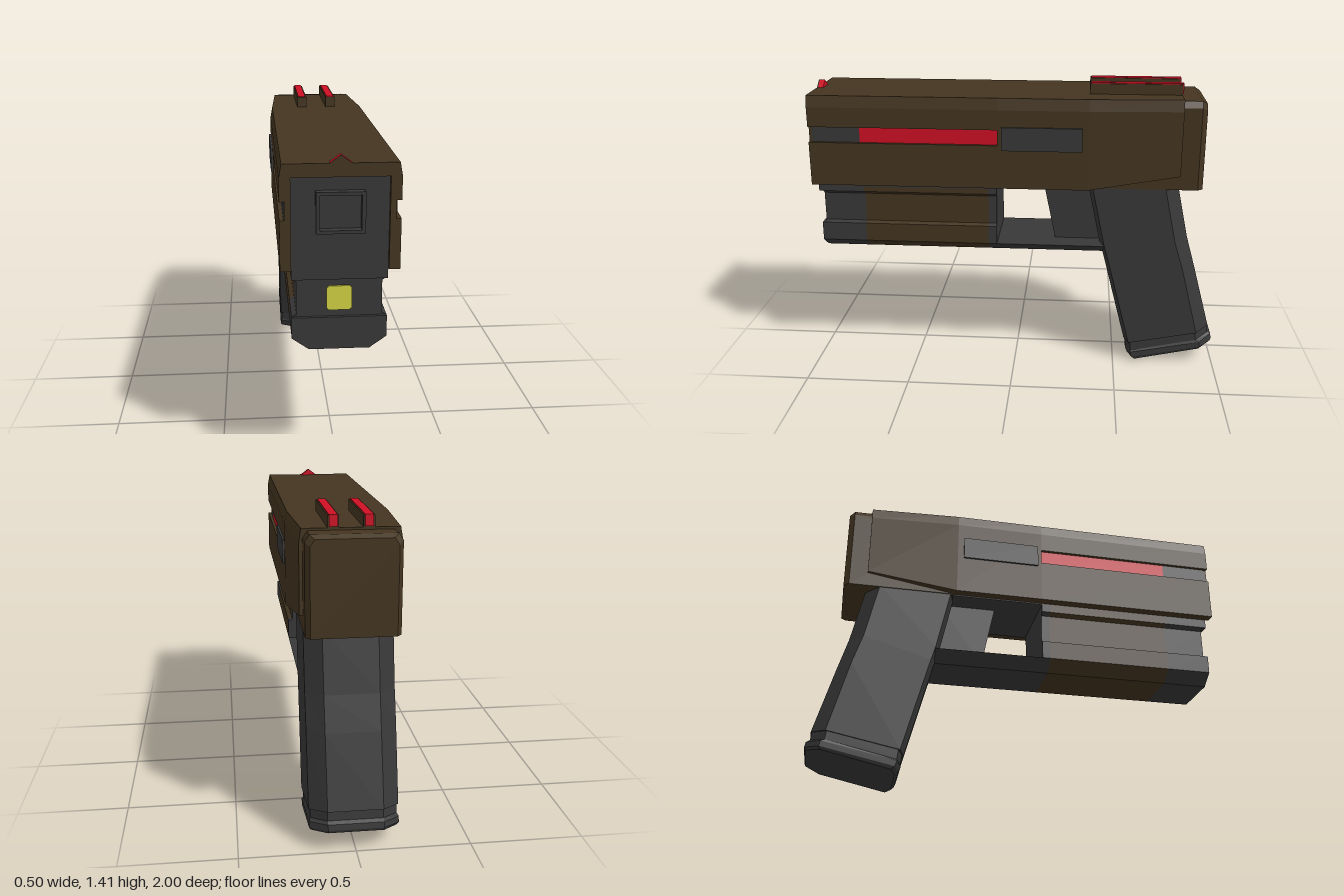
import * as THREE from 'three';

const mat = (name, color) => {
  const m = new THREE.MeshStandardMaterial({ color });
  m.name = name;
  return m;
};

// Skin convex rings of [x, y, z] points into a closed, flat-faced solid
function loft(rings) {
  const n = rings[0].length, tris = [];
  for (let r = 0; r < rings.length - 1; r++) {
    for (let i = 0; i < n; i++) {
      const j = (i + 1) % n;
      const a = rings[r][i], b = rings[r][j], c = rings[r + 1][j], d = rings[r + 1][i];
      tris.push([a, b, c], [a, c, d]);
    }
  }
  const first = rings[0], last = rings[rings.length - 1];
  for (let i = 1; i < n - 1; i++) {
    tris.push([first[0], first[i + 1], first[i]], [last[0], last[i], last[i + 1]]);
  }
  // Turn the faces outward if the solid came out inverted
  const V = (p) => new THREE.Vector3(...p);
  const volume = tris.reduce((s, [a, b, c]) => s + V(a).dot(V(b).cross(V(c))), 0);
  if (volume < 0) tris.forEach((t) => t.reverse());
  const geo = new THREE.BufferGeometry();
  geo.setAttribute('position', new THREE.Float32BufferAttribute(tris.flat(2), 3));
  geo.computeVertexNormals();
  return geo;
}

// Extrude a mirrored half-outline along z
function mirrored(half, z0, z1) {
  const pts = [...half, ...half.map(([x, y]) => [-x, y]).reverse()];
  const shape = new THREE.Shape(pts.map(([x, y]) => new THREE.Vector2(x, y)));
  const geo = new THREE.ExtrudeGeometry(shape, { depth: z1 - z0, bevelEnabled: false });
  return geo.translate(0, 0, z0);
}

function box(x0, x1, y0, y1, z0, z1) {
  return new THREE.BoxGeometry(x1 - x0, y1 - y0, z1 - z0)
    .translate((x0 + x1) / 2, (y0 + y1) / 2, (z0 + z1) / 2);
}

export function createModel() {
  const brown = mat('brown shell', 0x443520);
  const dark = mat('dark grey frame', 0x383838);
  const red = mat('red accent', 0xd01024);
  const yellow = mat('yellow light', 0xd4d444);

  const group = new THREE.Group();
  const add = (name, geo, material) => {
    const mesh = new THREE.Mesh(geo, material);
    mesh.name = name;
    group.add(mesh);
  };

  // Upper shell, front half with a channel along each side
  add('frontShell', mirrored([
    [0.23, 1.355], [0.24, 1.3], [0.24, 1.205], [0.22, 1.205], [0.22, 1.13],
    [0.24, 1.13], [0.24, 0.92], [0.195, 0.92], [0.195, 1.3],
  ], 0.08, 0.985), brown);

  // Upper shell, rear half tapering backwards
  const shellRing = (w, yb, z) => [
    [w, yb, z], [w, 1.3, z], [w - 0.01, 1.355, z],
    [-w + 0.01, 1.355, z], [-w, 1.3, z], [-w, yb, z],
  ];
  add('rearShell', loft([
    shellRing(0.24, 0.92, 0.08), shellRing(0.24, 0.92, -0.35), shellRing(0.215, 0.99, -0.785),
  ]), brown);

  // Narrow tail block with chamfered end
  const tailRing = (w, top, z) => [
    [w, 0.92, z], [w, top - 0.03, z], [w - 0.02, top, z],
    [-w + 0.02, top, z], [-w, top - 0.03, z], [-w, 0.92, z],
  ];
  add('tailBlock', loft([
    tailRing(0.2, 1.345, -0.35), tailRing(0.2, 1.345, -0.87), tailRing(0.18, 1.33, -0.895),
  ]), brown);

  // Inner core and its underside
  add('core', box(-0.195, 0.195, 0.9, 1.3, 0.09, 0.965), dark);
  add('undersidePlate', box(-0.195, 0.195, 0.915, 0.95, -0.36, 0.09), dark);

  // Square muzzle rim, with a recessed centre
  const rim = new THREE.Shape();
  const square = (path, h) => {
    path.moveTo(-h, -h);
    path.lineTo(h, -h);
    path.lineTo(h, h);
    path.lineTo(-h, h);
    path.closePath();
    return path;
  };
  square(rim, 0.098);
  rim.holes.push(square(new THREE.Path(), 0.082));
  const rimGeo = new THREE.ExtrudeGeometry(rim, { depth: 0.04, bevelEnabled: false });
  add('muzzleRim', rimGeo.scale(1, 0.86, 1).translate(0, 1.16, 0.96), dark);

  // Lower front block in three colour sections
  const block = [
    [0.195, 0.92], [0.195, 0.875], [0.175, 0.86], [0.175, 0.72],
    [0.195, 0.71], [0.195, 0.62], [0.125, 0.57],
  ];
  add('lowerBlockFront', mirrored(block, 0.74, 0.945), dark);
  add('lowerBlockMiddle', mirrored(block, 0.13, 0.74), brown);
  add('lowerBlockRear', mirrored(block, 0.09, 0.13), dark);
  add('upperLip', box(-0.195, 0.195, 0.875, 0.92, 0.94, 0.965), dark);
  add('lowerLip', mirrored(block.slice(4), 0.94, 0.96), dark);

  // Front light with clipped corners
  add('lightPanel', mirrored([
    [0.042, 0.842], [0.052, 0.832], [0.052, 0.748], [0.042, 0.738],
  ], 0.945, 0.952), yellow);

  // Guard bar and trigger
  add('guardBar', mirrored([[0.195, 0.62], [0.125, 0.57]], -0.47, 0.09), dark);
  const triggerRing = (y, z0, z1) => [[-0.08, y, z0], [0.08, y, z0], [0.08, y, z1], [-0.08, y, z1]];
  add('trigger', loft([triggerRing(0.93, -0.13, -0.42), triggerRing(0.61, -0.195, -0.47)]), dark);

  // Eight-sided raked grip: front z/y, rear z/y, half width
  const gripRing = ([zf, yf, zr, yr, w]) => {
    const half = [[0.125, zf], [w, zf - 0.022], [w, zr + 0.065], [0.12, zr]];
    return [...half, ...half.map(([x, z]) => [-x, z]).reverse()]
      .map(([x, z]) => [x, yf + (yr - yf) * (z - zf) / (zr - zf), z]);
  };
  add('grip', loft([
    [-0.35, 0.93, -0.785, 0.93, 0.195],
    [-0.415, 0.625, -0.845, 0.605 + 0.05, 0.195],
    [-0.435, 0.56, -0.89, 0.5, 0.195],
    [-0.555, 0.095, -0.978, 0.18, 0.195],
  ].map(gripRing)), dark);
  add('gripBase', loft([
    [-0.562, 0.1, -0.972, 0.185, 0.188],
    [-0.567, 0.05, -0.978, 0.14, 0.188],
    [-0.565, 0.042, -0.995, 0.13, 0.195],
    [-0.575, 0.015, -1, 0.105, 0.195],
    [-0.59, 0.002, -0.995, 0.092, 0.188],
  ].map(gripRing)), dark);

  // Side details and rear sights, on both sides
  for (const [side, s] of [['left', 1], ['right', -1]]) {
    const sideBox = (x0, x1, ...rest) => box(Math.min(s * x0, s * x1), Math.max(s * x0, s * x1), ...rest);
    add(side + 'ChannelFront', sideBox(0.215, 0.224, 1.13, 1.205, 0.74, 0.97), dark);
    add(side + 'ChannelStripe', sideBox(0.215, 0.224, 1.13, 1.205, 0.08, 0.74), red);
    add(side + 'SidePanel', sideBox(0.2, 0.25, 1.108, 1.22, -0.32, 0.06), dark);
    add(side + 'RearSight', sideBox(0.05, 0.098, 1.34, 1.405, -0.785, -0.35), brown);
    add(side + 'SightStripe', sideBox(0.056, 0.092, 1.402, 1.409, -0.785, -0.356), red);
    add(side + 'SightEnd', sideBox(0.056, 0.092, 1.36, 1.409, -0.79, -0.784), red);
  }

  // Triangular front sight with a shell-coloured face
  const wedge = [[0.05, 1.35], [0, 1.387]];
  add('frontSight', mirrored(wedge, 0.955, 0.98), red);
  add('frontSightFace', mirrored(wedge, 0.98, 0.985), brown);

  return group;
}
